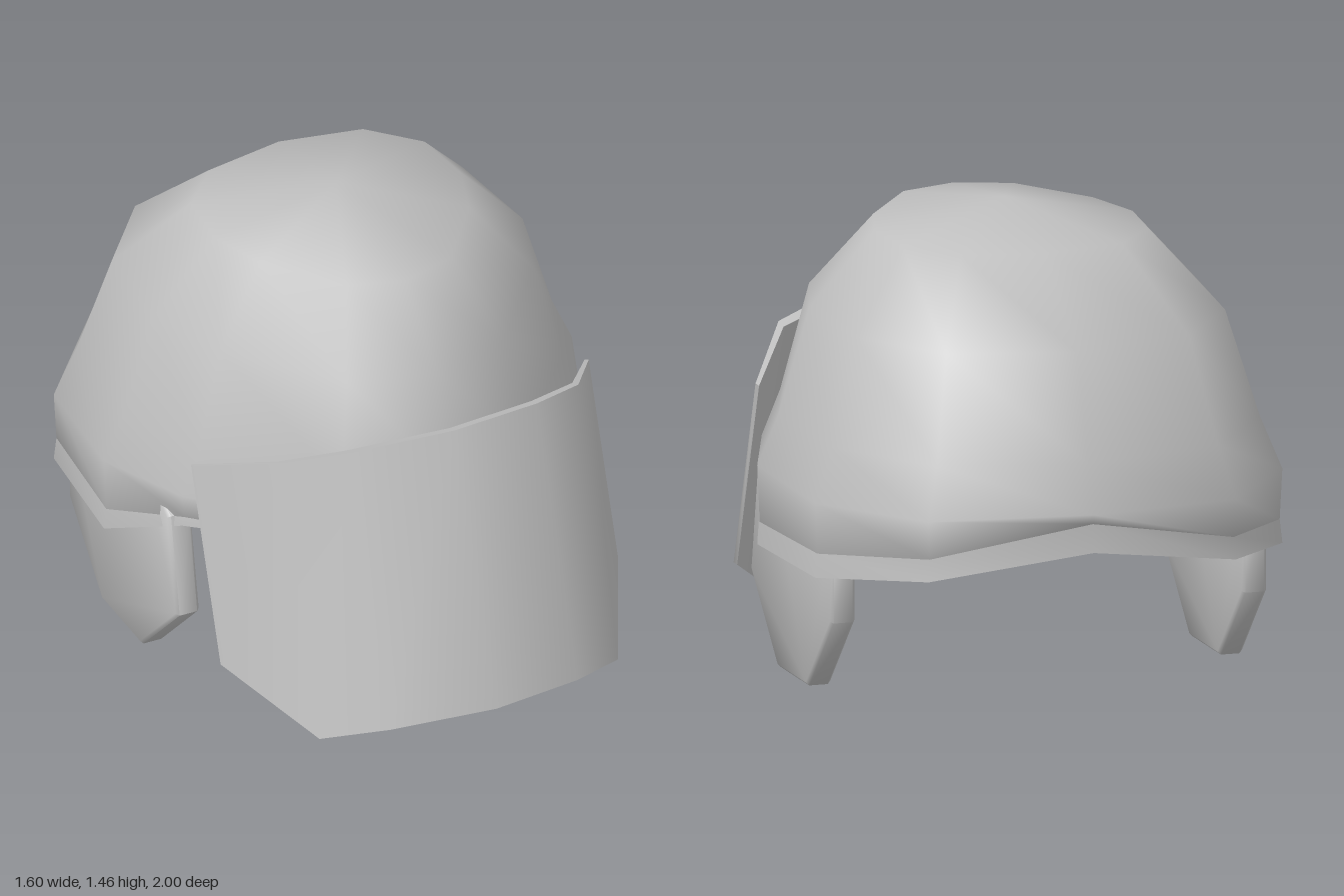
import * as THREE from 'three';
import { mergeVertices, toCreasedNormals } from 'three/addons/utils/BufferGeometryUtils.js';

const grey = new THREE.MeshStandardMaterial({ color: 0xbfbfbf, side: THREE.DoubleSide });
grey.name = 'plain grey';

// Smooth skin over a list of closed loops, each a list of [x, y, z]
function loft(loops) {
  const n = loops[0].length;
  const index = [];
  for (let r = 0; r < loops.length - 1; r++) {
    for (let i = 0; i < n; i++) {
      const a = r * n + i, b = r * n + (i + 1) % n;
      index.push(a, b, a + n, b, b + n, a + n);
    }
  }
  const geo = new THREE.BufferGeometry();
  geo.setAttribute('position', new THREE.Float32BufferAttribute(loops.flat(2), 3));
  geo.setIndex(index);
  const merged = mergeVertices(geo, 1e-4);
  merged.computeVertexNormals();
  return merged;
}

function part(geo, name) {
  const mesh = new THREE.Mesh(geo, grey);
  mesh.name = name;
  return mesh;
}

// Widest outline of the shell, half of it from back to front: [x, z]
const plan = [[0, -1], [0.5, -0.89], [0.76, -0.57], [0.8, -0.13], [0.68, 0.18], [0.34, 0.56], [0, 0.65]];
const bulgeY = [0.63, 0.62, 0.63, 0.66, 0.68, 0.71, 0.73];
const rimY = [0.6, 0.5, 0.47, 0.48, 0.6, 0.63, 0.65];
const skirtY = [0.51, 0.43, 0.395, 0.41, 0.57, 0.62, 0.645];
const midZ = -0.14;

// Loop around the shell; heights come from a rule on the column
function shellLoop(sx, sBack, sFront, heightAt) {
  const loop = [];
  for (let i = 0; i < 12; i++) {
    const k = i <= 6 ? i : 12 - i;
    const [x, z] = plan[k];
    const dz = z - midZ;
    loop.push([(i <= 6 ? x : -x) * sx, heightAt(k), midZ + dz * (dz < 0 ? sBack : sFront)]);
  }
  return loop;
}

// Height sloping from back to front
const slope = (back, front) => k => THREE.MathUtils.lerp(back, front, (plan[k][1] + 1) / 1.65);

function buildShell() {
  const group = new THREE.Group();
  group.name = 'helmetShell';
  const t = 0.95;
  const rim = shellLoop(0.99, 0.992, 0.99, k => rimY[k]);
  const dome = loft([
    shellLoop(0, 0, 0, () => 1.455),
    shellLoop(0.525, 0.477, 0.63, slope(1.36, 1.39)),
    shellLoop(0.79, 0.815, 0.9, slope(1.11, 1.175)),
    shellLoop(0.915, 0.94, 0.98, slope(0.78, 0.84)),
    shellLoop(1, 1, 1, k => bulgeY[k]),
    rim,
    // inner lining
    shellLoop(t, t, t, k => rimY[k] + 0.01),
    shellLoop(0.9 * t, 0.93 * t, 0.97 * t, slope(0.78, 0.84)),
    shellLoop(0.78 * t, 0.8 * t, 0.88 * t, slope(1.09, 1.15)),
    shellLoop(0.5, 0.45, 0.6, slope(1.32, 1.35)),
    shellLoop(0, 0, 0, () => 1.41),
  ]);
  group.add(part(dome, 'dome'));
  const skirt = loft([rim, shellLoop(1, 1, 0.99, k => skirtY[k])]);
  group.add(part(skirt, 'rimSkirt'));
  return group;
}

// Face shield: top and bottom outer edge points [y, z] and thickness per x
function buildVisor() {
  const half = [
    { x: 0, top: [1.04, 0.7], low: [0.19, 1.0], t: 0.04 },
    { x: 0.32, top: [1.0, 0.62], low: [0.15, 0.91], t: 0.04 },
    { x: 0.51, top: [0.955, 0.52], low: [0.105, 0.8], t: 0.035 },
    { x: 0.68, top: [0.83, 0.24], low: [0.22, 0.45], t: 0.015 },
  ];
  const columns = [
    ...half.slice(1).reverse().map(c => ({ ...c, x: -c.x })),
    ...half,
  ];
  const loops = columns.map(({ x, top, low, t }) => {
    const back = ([y, z]) => [x * 0.99, y - 0.34 * t, z - 0.94 * t];
    return [[x, ...top], [x, ...low], back(low), back(top)];
  });
  // close the two narrow ends
  const cap = loop => loop.map(() => [0, 1, 2].map(j => loop.reduce((s, p) => s + p[j], 0) / 4));
  loops.unshift(cap(loops[0]));
  loops.push(cap(loops[loops.length - 1]));
  const geo = toCreasedNormals(loft(loops).toNonIndexed(), 0.9);
  return part(geo, 'visor');
}

// Ear guard: plate outlined in (z, y), given a soft edge
function buildEarGuard(side) {
  const outline = [[0.19, 0.26], [-0.06, 0.01], [-0.33, 0.01], [-0.56, 0.25],
    [-0.56, 0.5], [-0.4, 0.64], [0.0, 0.64], [0.13, 0.58]];
  const shape = new THREE.Shape(outline.map(([z, y]) => new THREE.Vector2(-z, y)));
  const geo = new THREE.ExtrudeGeometry(shape, {
    depth: 0.06, bevelEnabled: true, bevelThickness: 0.01, bevelSize: 0.01, bevelSegments: 1,
  });
  geo.translate(0, 0, -0.03);
  geo.rotateY(Math.PI / 2);
  geo.translate(side * 0.67, 0, 0);
  return part(toCreasedNormals(geo, 0.9), side > 0 ? 'leftEarGuard' : 'rightEarGuard');
}

export function createModel() {
  const model = new THREE.Group();
  model.name = 'visoredHelmet';
  model.add(buildShell(), buildVisor(), buildEarGuard(1), buildEarGuard(-1));
  return model;
}
